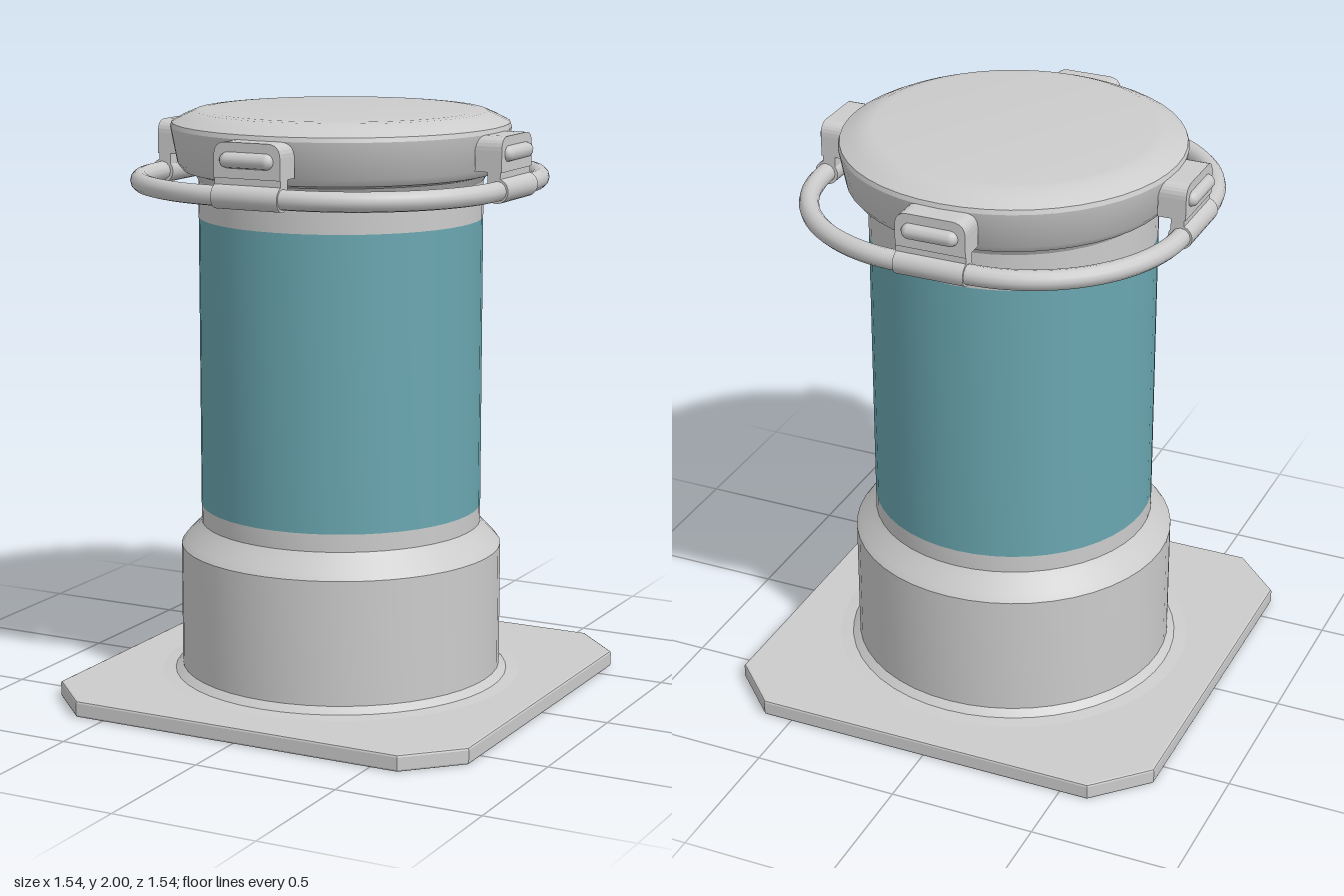
import * as THREE from 'three';
import { toCreasedNormals } from 'three/addons/utils/BufferGeometryUtils.js';

const grey = new THREE.MeshStandardMaterial({ color: 0xcccccc, side: THREE.DoubleSide });
const teal = new THREE.MeshStandardMaterial({ color: 0x6aa7b1, side: THREE.DoubleSide });

function part(name, geometry, material = grey) {
  const mesh = new THREE.Mesh(geometry, material);
  mesh.name = name;
  return mesh;
}

// Turned part from [radius, height] pairs, bottom to top
function turned(name, profile, material) {
  const points = profile.map(([r, y]) => new THREE.Vector2(r, y));
  return part(name, toCreasedNormals(new THREE.LatheGeometry(points, 48), 0.5), material);
}

// Square plate with cut corners and a round opening
function basePlate() {
  const a = 0.77, b = 0.6, bevel = 0.008;
  const shape = new THREE.Shape(
    [[b, -a], [a, -b], [a, b], [b, a], [-b, a], [-a, b], [-a, -b], [-b, -a]]
      .map(([x, y]) => new THREE.Vector2(x, y)));
  const hole = new THREE.Path();
  hole.absarc(0, 0, 0.55, 0, Math.PI * 2, true);
  shape.holes.push(hole);
  const geometry = new THREE.ExtrudeGeometry(shape, {
    depth: 0.057 - 2 * bevel, bevelEnabled: true, bevelSize: bevel, bevelThickness: bevel,
    bevelOffset: -bevel, bevelSegments: 2, curveSegments: 48,
  });
  geometry.rotateX(-Math.PI / 2).translate(0, bevel, 0);
  return part('basePlate', geometry);
}

// Rounded-square carrying ring
function carryRing() {
  const points = [], straight = 0.12, radius = 0.51, steps = 12;
  for (let corner = 0; corner < 4; corner++) {
    const mid = (corner + 0.5) * Math.PI / 2;
    const cx = straight * Math.sign(Math.cos(mid));
    const cz = straight * Math.sign(Math.sin(mid));
    for (let i = 0; i <= steps; i++) {
      const angle = (corner + i / steps) * Math.PI / 2;
      points.push(new THREE.Vector3(cx + radius * Math.cos(angle), 1.77, cz + radius * Math.sin(angle)));
    }
  }
  const path = new THREE.CatmullRomCurve3(points, true);
  return part('carryRing', new THREE.TubeGeometry(path, 128, 0.033, 12, true));
}

// Plate with rounded upper corners, standing in the xy plane
function tabGeometry(halfWidth, bottom, top, corner, depth) {
  const s = new THREE.Shape();
  s.moveTo(-halfWidth, bottom);
  s.lineTo(halfWidth, bottom);
  s.lineTo(halfWidth, top - corner);
  s.quadraticCurveTo(halfWidth, top, halfWidth - corner, top);
  s.lineTo(-halfWidth + corner, top);
  s.quadraticCurveTo(-halfWidth, top, -halfWidth, top - corner);
  s.closePath();
  return new THREE.ExtrudeGeometry(s, { depth, bevelEnabled: false, curveSegments: 6 });
}

// Clip that hangs the ring from the lid, built facing +z
function ringClip() {
  const clip = new THREE.Group();
  clip.name = 'ringClip';

  const lug = part('clipLug', tabGeometry(0.12, 1.83, 1.945, 0.045, 0.095));
  lug.position.z = 0.55;

  const strap = part('clipStrap', new THREE.BoxGeometry(0.24, 0.1, 0.045));
  strap.position.set(0, 1.8, 0.618);

  const sleeve = part('clipSleeve', toCreasedNormals(
    new THREE.CylinderGeometry(0.041, 0.041, 0.24, 20).rotateZ(Math.PI / 2), 0.6));
  sleeve.position.set(0, 1.77, 0.628);

  // Raised bar on the outer face
  const bar = part('clipBar', new THREE.CapsuleGeometry(0.026, 0.14, 4, 10).rotateZ(Math.PI / 2));
  bar.position.set(0, 1.888, 0.645);

  clip.add(lug, strap, sleeve, bar);
  return clip;
}

export function createModel() {
  const model = new THREE.Group();
  model.name = 'canister';

  model.add(basePlate());

  // Hollow foot with a small fillet onto the plate and a sloped shoulder
  model.add(turned('foot', [
    [0.55, 0], [0.55, 0.055], [0.62, 0.058], [0.575, 0.063], [0.55, 0.085],
    [0.55, 0.51], [0.535, 0.53], [0.495, 0.57], [0.48, 0.59], [0.48, 0.65],
  ]));
  model.add(turned('tube', [[0.48, 0.65], [0.48, 1.64]], teal));
  model.add(turned('neck', [[0.48, 1.64], [0.48, 1.765], [0.495, 1.79], [0.53, 1.8]]));
  model.add(turned('lid', [
    [0, 1.8], [0.53, 1.8], [0.55, 1.825], [0.573, 1.945], [0.568, 1.96],
    [0.53, 1.98], [0.49, 1.997], [0.46, 2], [0, 2],
  ]));

  model.add(carryRing());
  for (let i = 0; i < 4; i++) {
    const clip = ringClip();
    clip.rotation.y = i * Math.PI / 2;
    model.add(clip);
  }
  return model;
}
